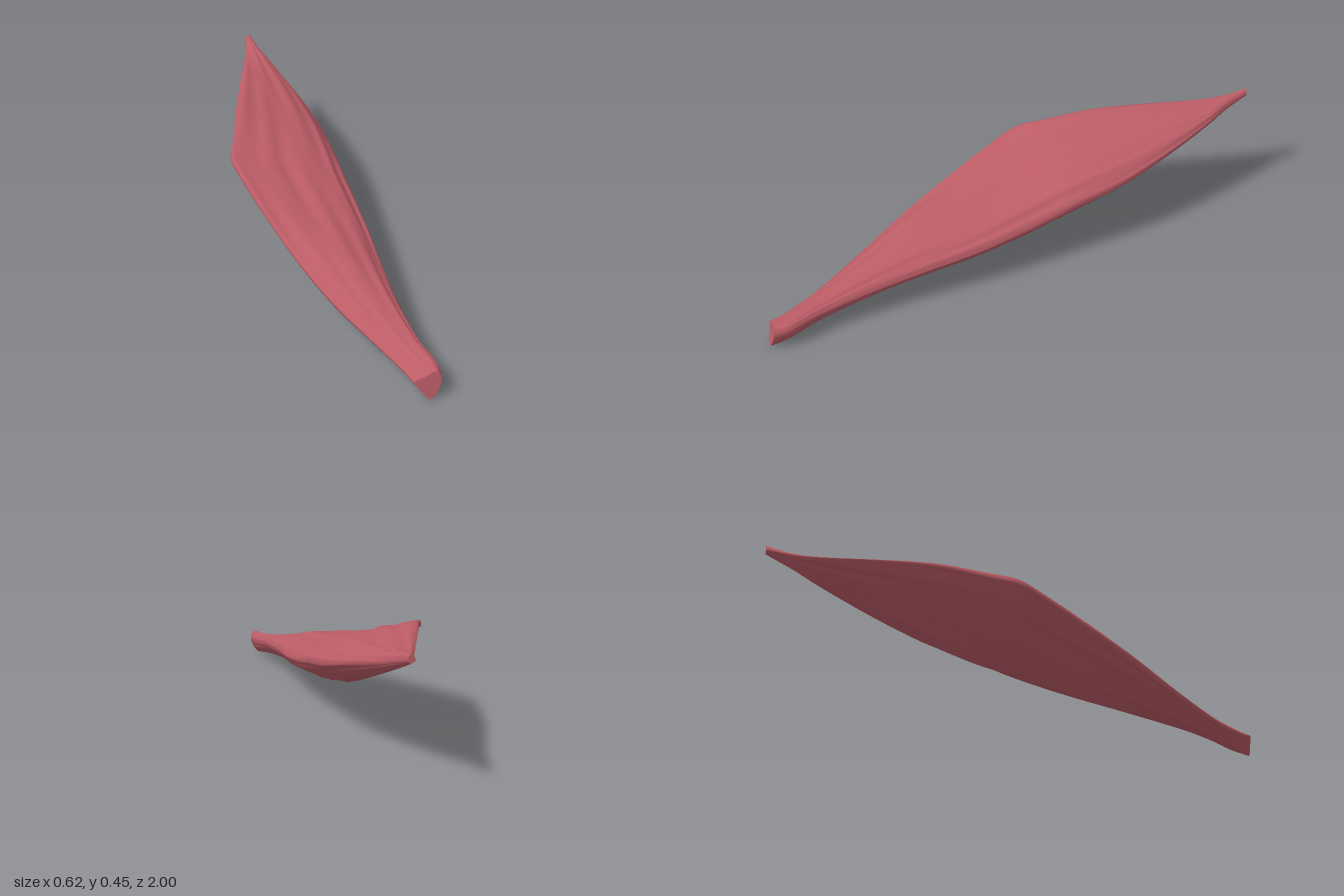
import * as THREE from 'three';

// One row per cross-section, back to front:
// z, left x, left y, right x, right y, top middle y, top right y, bottom y
const SECTIONS = [
  [-1.00, -0.185, 0.430, -0.160, 0.430, 0.450, 0.446, 0.420],
  [-0.90, -0.190, 0.420, -0.125, 0.405, 0.435, 0.430, 0.385],
  [-0.80, -0.205, 0.415, -0.075, 0.378, 0.420, 0.408, 0.350],
  [-0.60, -0.235, 0.418, 0.010, 0.330, 0.408, 0.375, 0.285],
  [-0.40, -0.265, 0.413, 0.075, 0.283, 0.388, 0.343, 0.222],
  [-0.20, -0.290, 0.382, 0.115, 0.248, 0.360, 0.310, 0.165],
  [-0.10, -0.308, 0.360, 0.132, 0.225, 0.335, 0.285, 0.146],
  [0.00, -0.280, 0.328, 0.150, 0.205, 0.305, 0.262, 0.126],
  [0.20, -0.200, 0.262, 0.180, 0.170, 0.258, 0.222, 0.101],
  [0.40, -0.110, 0.195, 0.200, 0.145, 0.225, 0.192, 0.080],
  [0.60, 0.000, 0.130, 0.225, 0.120, 0.168, 0.158, 0.060],
  [0.80, 0.125, 0.085, 0.265, 0.098, 0.118, 0.122, 0.040],
  [0.92, 0.190, 0.070, 0.307, 0.085, 0.098, 0.107, 0.020],
  [0.985, 0.217, 0.068, 0.308, 0.080, 0.085, 0.102, 0.004],
];
const RINGS = 96;
const SIDES = 72;
const mix = THREE.MathUtils.lerp;

// Smoothly blended section at t = 0..1 along the length
function sectionAt(t) {
  const n = SECTIONS.length - 1;
  const f = Math.min(t * n, n - 1e-6);
  const i = Math.floor(f);
  const u = f - i;
  const row = (k) => SECTIONS[Math.max(0, Math.min(n, k))];
  return row(i).map((b, c) => {
    const m0 = (row(i + 1)[c] - row(i - 1)[c]) / 2;
    const m1 = (row(i + 2)[c] - b) / 2;
    const d = row(i + 1)[c] - b;
    return b + u * (m0 + u * (3 * d - 2 * m0 - m1 + u * (m0 + m1 - 2 * d)));
  });
}

// Closed outline: thin raised left edge, rounded right edge, low belly
function ringAt(t) {
  const [z, xl, yl, xr, yr, ym, yt, yb] = sectionAt(t);
  const p = (f, y) => new THREE.Vector3(mix(xl, xr, f), y, z);
  const curve = new THREE.CatmullRomCurve3([
    p(0, yl), p(0.4, ym), p(0.85, yt), p(1, yr),
    p(0.87, mix(yb, yr, 0.35)), p(0.6, yb), p(0.2, mix(yl, yb, 0.45)),
  ], true);
  const ripple = 0.0035 * Math.sin(Math.PI * t);
  const slant = 0.2 * THREE.MathUtils.smoothstep(t, 0.9, 1);
  const ring = [];
  for (let j = 0; j < SIDES; j++) {
    const s = j / SIDES;
    const v = curve.getPoint(s);
    // Long shallow fibre ridges
    v.y += ripple * (Math.sin(s * Math.PI * 22 + z * 3) + 0.6 * Math.sin(s * Math.PI * 34 - z * 4));
    // Lean the blunt front end backwards
    v.z += slant * (0.075 - v.y);
    ring.push(v);
  }
  return ring;
}

function makeGeometry(points, index) {
  const g = new THREE.BufferGeometry().setFromPoints(points);
  g.setIndex(index);
  g.computeVertexNormals();
  return g;
}

function makeCap(ring, front) {
  const centre = new THREE.Vector3();
  ring.forEach((v) => centre.addScaledVector(v, 1 / SIDES));
  const index = [];
  for (let j = 0; j < SIDES; j++) {
    const k = (j + 1) % SIDES;
    index.push(SIDES, front ? k : j, front ? j : k);
  }
  return makeGeometry([...ring, centre], index);
}

export function createModel() {
  const group = new THREE.Group();
  group.name = 'muscle';
  const red = new THREE.MeshStandardMaterial({ color: 0xbb5c66 });
  red.name = 'muscleRed';

  const rings = [];
  for (let i = 0; i <= RINGS; i++) rings.push(ringAt(i / RINGS));
  const index = [];
  for (let i = 0; i < RINGS; i++) {
    for (let j = 0; j < SIDES; j++) {
      const k = (j + 1) % SIDES;
      const a = i * SIDES;
      const b = a + SIDES;
      index.push(a + j, b + j, a + k, a + k, b + j, b + k);
    }
  }

  const add = (name, geometry) => {
    const mesh = new THREE.Mesh(geometry, red);
    mesh.name = name;
    group.add(mesh);
  };
  add('muscleBelly', makeGeometry(rings.flat(), index));
  add('backTip', makeCap(rings[0], false));
  add('frontEnd', makeCap(rings[RINGS], true));
  return group;
}
